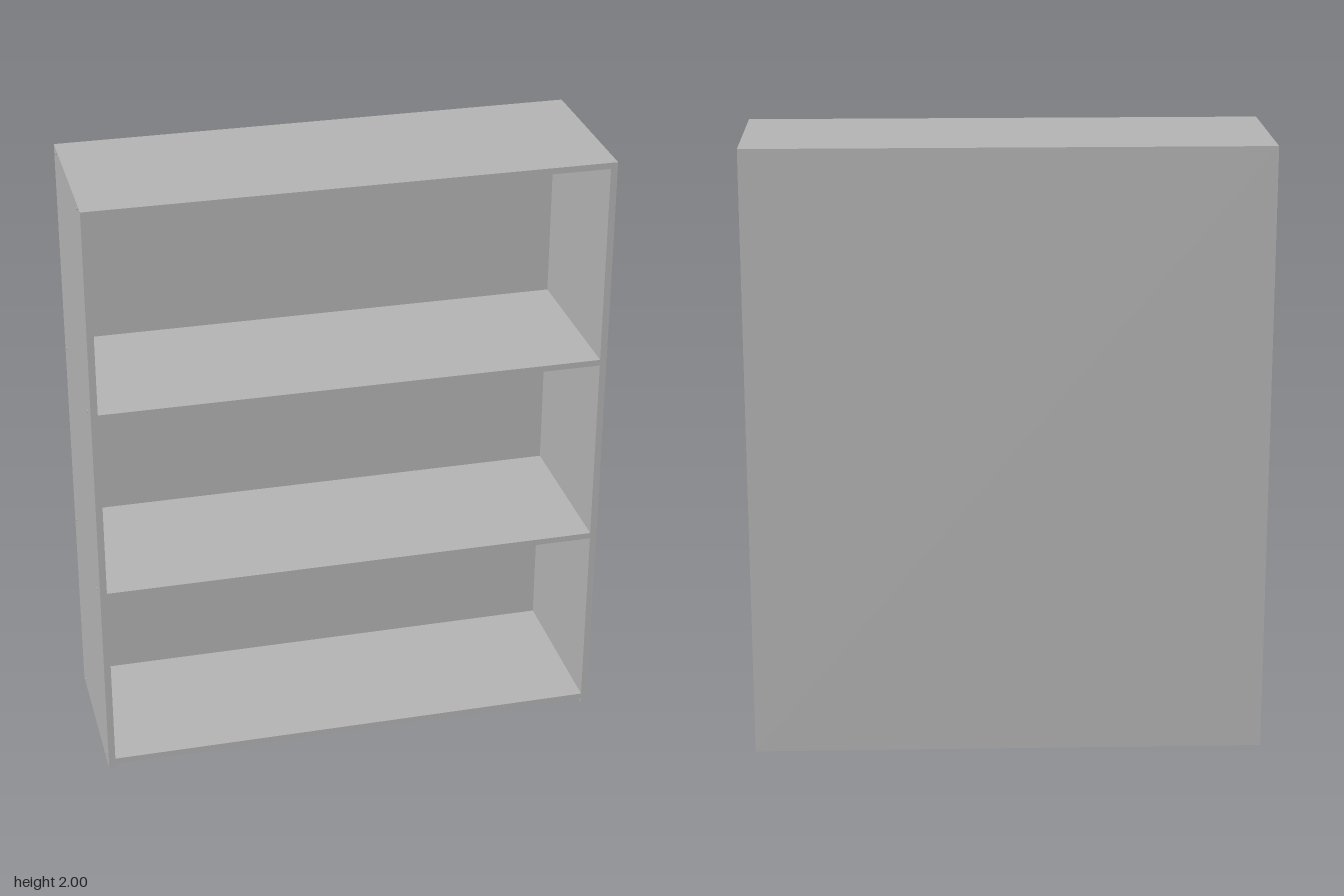
import * as THREE from 'three';

const W = 1.666, H = 2, D = 0.556; // outer size of the case
const T = 0.02;                    // board thickness
const BACK = 0.008;                // back panel thickness

export function createModel() {
  const model = new THREE.Group();
  model.name = 'bookcase';
  const board = new THREE.MeshStandardMaterial({ color: 0xb2b2b2 });
  board.name = 'grey board';

  const add = (name, geometry, x, y, z) => {
    const mesh = new THREE.Mesh(geometry, board);
    mesh.name = name;
    mesh.position.set(x, y, z);
    model.add(mesh);
    return mesh;
  };

  const innerW = W - 2 * T - 0.004;
  const sideT = (W - innerW) / 2;
  const boardD = D - BACK;

  // Back panel, full height
  add('backPanel', new THREE.BoxGeometry(W, H, BACK), 0, H / 2, -D / 2 + BACK / 2);

  // Horizontal boards: raised bottom, two shelves and the top
  const levels = [['bottomBoard', 0.026], ['lowerShelf', 0.669], ['upperShelf', 1.313], ['topBoard', H - T / 2]];
  for (const [name, y] of levels) {
    add(name, new THREE.BoxGeometry(innerW, T, boardD), 0, y, BACK / 2);
  }

  // Side panels with small screw heads at the end of each board
  const screw = new THREE.CylinderGeometry(0.004, 0.004, 0.004, 12).rotateZ(Math.PI / 2);
  for (const side of [-1, 1]) {
    const label = side > 0 ? 'left' : 'right';
    add(label + 'SidePanel', new THREE.BoxGeometry(sideT, H, boardD), side * (W - sideT) / 2, H / 2, BACK / 2);
    for (const [, y] of levels) {
      for (const z of [-0.226, 0.222]) {
        add(label + 'Screw', screw, side * (W / 2 + 0.001), y, z);
      }
    }
  }
  return model;
}
